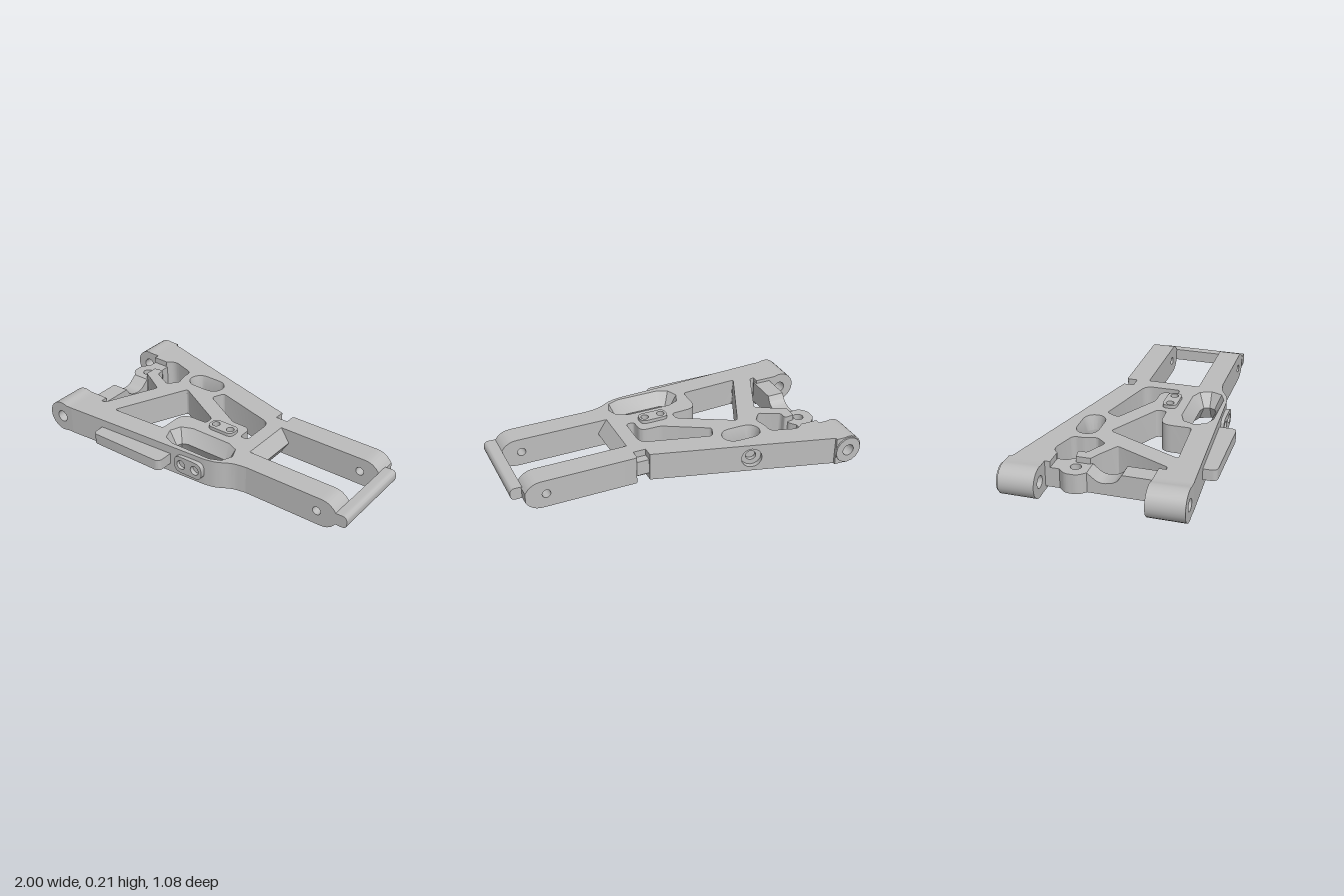
import * as THREE from 'three';
import { toCreasedNormals, mergeVertices } from 'three/addons/utils/BufferGeometryUtils.js';

const plastic = new THREE.MeshStandardMaterial({ color: 0xbcbcbc });
plastic.name = 'greyPlastic';
const Y0 = 0.02, H = 0.17, MID = 0.105;

// Closed counter-clockwise outline with softened corners; a third value per point overrides the radius
function outline(points, r = 0.015, Type = THREE.Shape) {
  const clockwise = THREE.ShapeUtils.isClockWise(points.map(([x, y]) => new THREE.Vector2(x, y)));
  const pts = clockwise ? [...points].reverse() : points;
  const path = new Type(), n = pts.length;
  pts.forEach((p, i) => {
    const c = new THREE.Vector2(p[0], p[1]);
    const toward = (q) => {
      const d = new THREE.Vector2(q[0], q[1]).sub(c), len = d.length();
      return c.clone().addScaledVector(d, Math.min(p[2] ?? r, len * 0.45) / len);
    };
    const a = toward(pts[(i + n - 1) % n]), b = toward(pts[(i + 1) % n]);
    if (i) path.lineTo(a.x, a.y); else path.moveTo(a.x, a.y);
    if ((p[2] ?? r) > 0) path.quadraticCurveTo(c.x, c.y, b.x, b.y);
  });
  path.closePath();
  return path;
}
const circle = (x, y, r) => new THREE.Path().absarc(x, y, r, 0, Math.PI * 2, false);
const flip = (pts) => pts.map(([x, z, r]) => [x, -z, r]);

function extrude(shape, depth) {
  const g = new THREE.ExtrudeGeometry(shape, { depth, bevelEnabled: false, curveSegments: 8 });
  return toCreasedNormals(g, 0.6);
}
// Extrude a plan outline (x, -z) upward from y
const fromPlan = (shape, y, h) => extrude(shape, h).rotateX(-Math.PI / 2).translate(0, y, 0);
// Extrude a front outline (x, y) between two z values
const fromFront = (shape, z0, z1) => extrude(shape, z1 - z0).translate(0, 0, z0);
// Extrude a side outline (-z, y) between two x values
const fromSide = (shape, x0, x1) => extrude(shape, x1 - x0).rotateY(Math.PI / 2).translate(x0, 0, 0);

// Points around an elongated slot
function slotPoints([cx, cz, hx, hz], seg) {
  const pts = [];
  for (const side of [0, 1]) for (let i = 0; i <= seg; i++) {
    const a = -Math.PI / 2 + side * Math.PI + (i / seg) * Math.PI;
    pts.push([cx + (side ? -1 : 1) * (hx - hz) + Math.cos(a) * hz, cz + Math.sin(a) * hz]);
  }
  return pts;
}

// Slot wall that narrows toward mid height
function slotWall([cx, cz, hx, hz], inset, seg) {
  const pos = [], idx = [], n = 2 * (seg + 1);
  for (const [y, k] of [[Y0, 0], [MID, inset], [Y0 + H, 0]])
    for (const [x, z] of slotPoints([cx, cz, hx - k, hz - k], seg)) pos.push(x, y, z);
  for (let r = 0; r < 2; r++) for (let i = 0; i < n; i++) {
    const a = r * n + i, b = r * n + (i + 1) % n;
    idx.push(a, b, a + n, b, b + n, a + n);
  }
  const g = new THREE.BufferGeometry();
  g.setAttribute('position', new THREE.Float32BufferAttribute(pos, 3));
  g.setIndex(idx);
  return toCreasedNormals(mergeVertices(g), 0.5);
}

export function createModel() {
  const model = new THREE.Group();
  const add = (name, geometry, parent = model) => {
    const m = new THREE.Mesh(geometry, plastic);
    m.name = name;
    parent.add(m);
  };

  // Socket on the sloped rear edge: centre, edge direction and outward normal
  const P = [-0.36, -0.385], U = [0.964, 0.266], N = [0.266, -0.964];
  const at = (s, d) => [P[0] + U[0] * s - N[0] * d, P[1] + U[1] * s - N[1] * d, 0];

  // Main frame plan, as (x, z)
  const frame = outline(flip([
    [-0.83, -0.515, 0], at(-0.08, 0), at(-0.08, 0.055), at(0.08, 0.055), at(0.08, 0),
    [0.205, -0.23, 0], [0.205, -0.17, 0], [0.28, -0.17, 0], [0.28, -0.232], [0.36, -0.232, 0],
    [0.36, -0.095, 0], [0.29, -0.095, 0], [0.29, 0.215, 0], [0.36, 0.215, 0], [0.36, 0.348, 0],
    [0.28, 0.36, 0.04], [0.2, 0.408, 0.04], [0.13, 0.422], [-0.55, 0.455], [-0.83, 0.47, 0],
    [-0.83, 0.26, 0], [-0.74, 0.26, 0], [-0.74, 0.30, 0], [-0.715, 0.30], [-0.572, -0.015],
    [-0.69, -0.085], [-0.74, -0.11, 0], [-0.74, -0.19, 0], [-0.68, -0.2], [-0.68, -0.15],
    [-0.56, -0.09], [-0.51, -0.15], [-0.53, -0.225], [-0.53, -0.285, 0.03], [-0.69, -0.335, 0.04],
    [-0.74, -0.29], [-0.74, -0.33, 0], [-0.83, -0.33, 0],
  ]));
  const rearSlot = [-0.363, -0.24, 0.118, 0.065], frontSlot = [0.018, 0.308, 0.222, 0.093];
  const triangleWindow = [[-0.41, -0.108], [-0.09, 0.065], [-0.09, 0.12], [-0.255, 0.125, 0.07],
    [-0.255, 0.31], [-0.61, 0.328]];
  const sideWindow = [[-0.2, -0.2], [0.205, -0.09, 0.05], [0.205, 0.12], [0.155, 0.12],
    [0.155, 0.02, 0.05], [0.03, 0.02], [-0.235, -0.125]];
  for (const w of [triangleWindow, sideWindow]) frame.holes.push(outline(flip(w), 0.02, THREE.Path));
  frame.holes.push(outline(flip(slotPoints(rearSlot, 8)), 0, THREE.Path));
  frame.holes.push(outline(flip(slotPoints(frontSlot, 4)), 0, THREE.Path));
  const padHoles = () => [-0.015, 0.085].map((x) => circle(x, -0.12, 0.023));
  frame.holes.push(...padHoles());
  add('mainFrame', fromPlan(frame, Y0, H));
  add('rearSlotWall', slotWall(rearSlot, 0.02, 8));
  add('frontSlotWall', slotWall(frontSlot, 0.047, 4));

  // Raised two-hole pads above and below the frame
  for (const [name, y] of [['upperPad', 0.19], ['lowerPad', 0]]) {
    const pad = outline([[-0.05, -0.078], [0.12, -0.078], [0.12, -0.162], [-0.05, -0.162]], 0.035);
    pad.holes.push(...padHoles());
    add(name, fromPlan(pad, y, 0.02));
  }

  // Stepped socket in the rear edge
  const socket = new THREE.Group();
  socket.name = 'rearSocket';
  socket.position.set(P[0], 0, P[1]);
  socket.rotation.y = Math.atan2(N[0], N[1]);
  model.add(socket);
  for (const [name, r, z0, z1] of [['socketRim', 0.06, -0.03, 0], ['socketSeat', 0.03, -0.055, -0.03]]) {
    const plate = outline([[-0.08, Y0], [0.08, Y0], [0.08, Y0 + H], [-0.08, Y0 + H]], 0);
    plate.holes.push(circle(0, MID, r));
    add(name, fromFront(plate, z0, z1), socket);
  }

  // Hinge barrels on the right end
  for (const [name, r, z0, z1] of [['rearHingeBarrel', 0.088, -0.53, -0.33], ['frontHingeBarrel', 0.093, 0.26, 0.47]]) {
    const s = new THREE.Shape(), start = Math.asin(0.085 / r);
    s.moveTo(-0.83, Y0);
    s.lineTo(-0.83, Y0 + H);
    s.absarc(-0.907, MID, r, start, Math.PI * 2 - start, false);
    s.closePath();
    s.holes.push(circle(-0.907, MID, 0.035));
    add(name, fromFront(s, z0, z1));
  }
  const collar = new THREE.Shape().absarc(-0.907, MID, 0.08, 0, Math.PI * 2, false);
  collar.holes.push(circle(-0.907, MID, 0.035));
  add('rearHingeCollar', fromFront(collar, -0.54, -0.53));

  // Waisted rail joining the barrels, with a round drilled boss
  const railParts = [
    ['railFront', [[-0.28, 0.04, 0], [-0.28, 0.17, 0], [-0.09, 0.17, 0], [-0.06, 0.12, 0.04], [0.03, 0.1, 0.05],
      [0.1, 0.155, 0], [0.11, 0.155, 0], [0.11, 0.04, 0]]],
    ['railRear', [[0.23, 0.04, 0], [0.23, 0.155, 0], [0.3, 0.155, 0], [0.3, 0.19, 0], [0.34, 0.19, 0], [0.34, 0.04, 0]]],
  ];
  for (const [name, pts] of railParts) add(name, fromSide(outline(pts), -0.832, -0.73));
  const boss = outline(flip([[-0.832, -0.25, 0], [-0.73, -0.25, 0], [-0.70, -0.21], [-0.70, -0.14], [-0.73, -0.1, 0],
    [-0.832, -0.1, 0], [-0.87, -0.14, 0.025], [-0.87, -0.21, 0.025]]));
  boss.holes.push(circle(-0.785, 0.175, 0.03));
  add('railBoss', fromPlan(boss, 0.04, 0.115));

  // Fork arms with rounded, drilled ends
  for (const [name, z0, z1] of [['rearForkArm', -0.232, -0.095], ['frontForkArm', 0.215, 0.348]]) {
    const arm = outline([[0.36, Y0, 0], [0.36, Y0 + H, 0], [0.87, Y0 + H, 0.04], [0.912, 0.165, 0.02],
      [0.935, 0.135, 0], [0.935, 0.075, 0], [0.912, 0.045, 0.02], [0.87, Y0, 0.04]]);
    arm.holes.push(circle(0.815, MID, 0.025));
    add(name, fromFront(arm, z0, z1));
  }

  // Round-nosed bar across the fork tips
  const bar = outline([[0.93, 0.072, 0], [1, 0.07, 0.04], [1, 0.145, 0.04], [0.93, 0.142, 0]]);
  add('forkBar', fromFront(bar, -0.168, 0.35));

  // Wedge-shaped root between the fork arms
  add('forkRoot', fromFront(outline([[0.29, Y0], [0.345, MID], [0.29, Y0 + H]], 0), -0.095, 0.215));

  // Small bridge inside the rear notch
  add('notchBridge', new THREE.BoxGeometry(0.08, 0.09, 0.05).translate(0.242, MID, -0.195));

  // Front tab and two-hole mount
  const tab = outline(flip([[-0.595, 0.44, 0], [-0.595, 0.535], [-0.1, 0.535], [-0.1, 0.42, 0]]), 0.035);
  add('frontTab', fromPlan(tab, 0.075, 0.065));
  const mount = outline([[-0.06, 0.055], [0.13, 0.055], [0.13, 0.16], [-0.06, 0.16]], 0.045);
  for (const x of [-0.012, 0.083]) mount.holes.push(circle(x, 0.108, 0.028));
  add('frontMount', fromFront(mount, 0.415, 0.45));

  return model;
}
